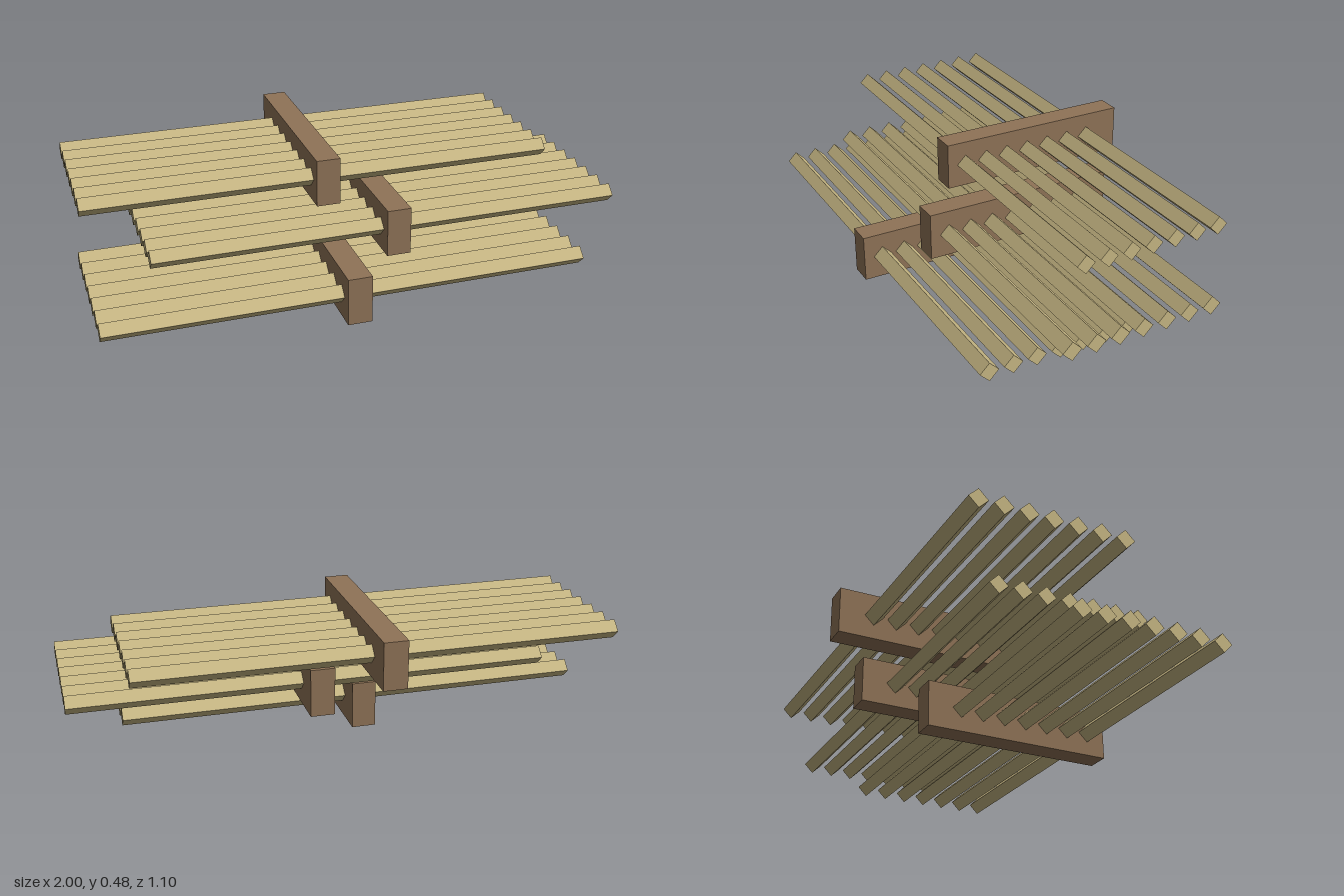
import * as THREE from 'three';

const beamMaterial = new THREE.MeshStandardMaterial({ color: 0x8f7357 });
beamMaterial.name = 'brown wood';
const slatMaterial = new THREE.MeshStandardMaterial({ color: 0xc6b683 });
slatMaterial.name = 'pale wood';

const SLATS = 7, SPACING = 0.0897;

// One shelf: a cross beam pierced by a row of square slats turned on edge
function createShelf(name, side, y, z) {
  const shelf = new THREE.Group();
  shelf.name = name;
  shelf.position.set(0, y, z);

  const beam = new THREE.Mesh(new THREE.BoxGeometry(0.09, 0.179, 0.746), beamMaterial);
  beam.name = 'beam';
  beam.position.x = side * 0.105;
  shelf.add(beam);

  const slatGeometry = new THREE.BoxGeometry(1.79, 0.05, 0.05);
  for (let i = 0; i < SLATS; i++) {
    const slat = new THREE.Mesh(slatGeometry, slatMaterial);
    slat.name = 'slat' + (i + 1);
    slat.rotation.x = Math.PI / 4;
    slat.position.set(side * 0.105, 0, 0.03 + ((SLATS - 1) / 2 - i) * SPACING);
    shelf.add(slat);
  }
  return shelf;
}

export function createModel() {
  const model = new THREE.Group();
  model.name = 'slattedShelves';

  // Shelves step backwards as they rise and alternate sides
  model.add(createShelf('lowerShelf', -1, 0.0895, 0.179));
  model.add(createShelf('middleShelf', 1, 0.239, 0));
  model.add(createShelf('upperShelf', -1, 0.389, -0.179));
  return model;
}
